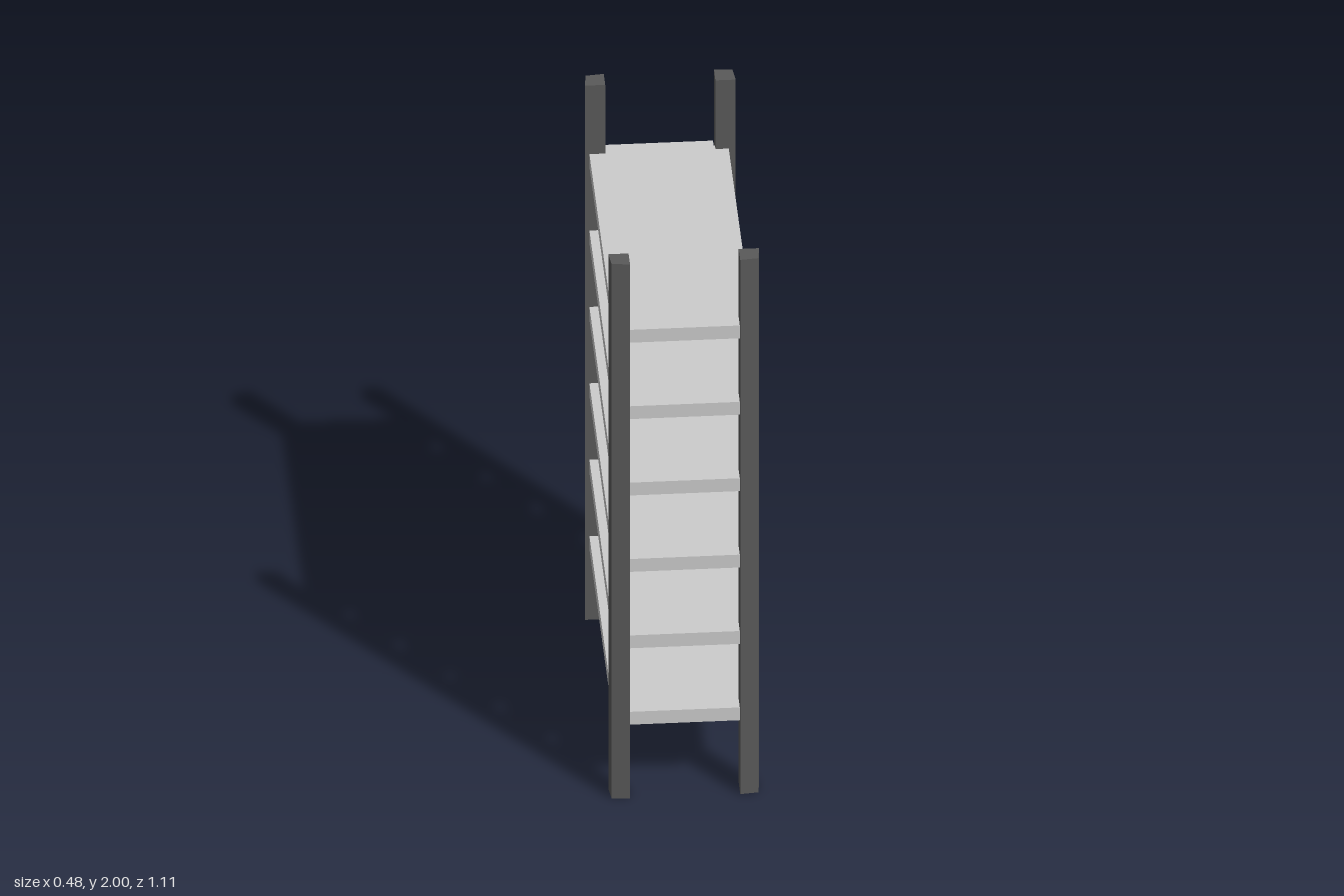
import * as THREE from 'three';

// Prism with a plan outline of [x, z] points, standing on y = 0
function prism(outline, height) {
  const shape = new THREE.Shape(outline.map(([x, z]) => new THREE.Vector2(x, -z)));
  const geometry = new THREE.ExtrudeGeometry(shape, { depth: height, bevelEnabled: false });
  return geometry.rotateX(-Math.PI / 2);
}

export function createModel() {
  const group = new THREE.Group();
  group.name = 'shelvingUnit';
  const postMaterial = new THREE.MeshStandardMaterial({ color: 0x5a5a5a });
  const shelfMaterial = new THREE.MeshStandardMaterial({ color: 0xcccccc });

  // Four corner posts, slightly tapered in plan towards the outer corner
  const postOutline = [[0.174, 0.492], [0.238, 0.492], [0.232, 0.55], [0.174, 0.556]];
  for (const [sx, side] of [[1, 'Left'], [-1, 'Right']]) {
    for (const [sz, end] of [[1, 'front'], [-1, 'back']]) {
      const post = new THREE.Mesh(prism(postOutline.map(([x, z]) => [x * sx, z * sz]), 2), postMaterial);
      post.name = `${end}${side}Post`;
      group.add(post);
    }
  }

  // Six evenly spaced shelves, notched at the back left post
  const shelfOutline = [
    [-0.224, 0.538], [0.216, 0.538], [0.216, -0.514],
    [0.17, -0.514], [0.17, -0.542], [-0.224, -0.542],
  ];
  const shelfGeometry = prism(shelfOutline, 0.048);
  for (let i = 0; i < 6; i++) {
    const shelf = new THREE.Mesh(shelfGeometry, shelfMaterial);
    shelf.name = `shelf${i + 1}`;
    shelf.position.y = 0.265 + i * 0.286;
    group.add(shelf);
  }
  return group;
}
